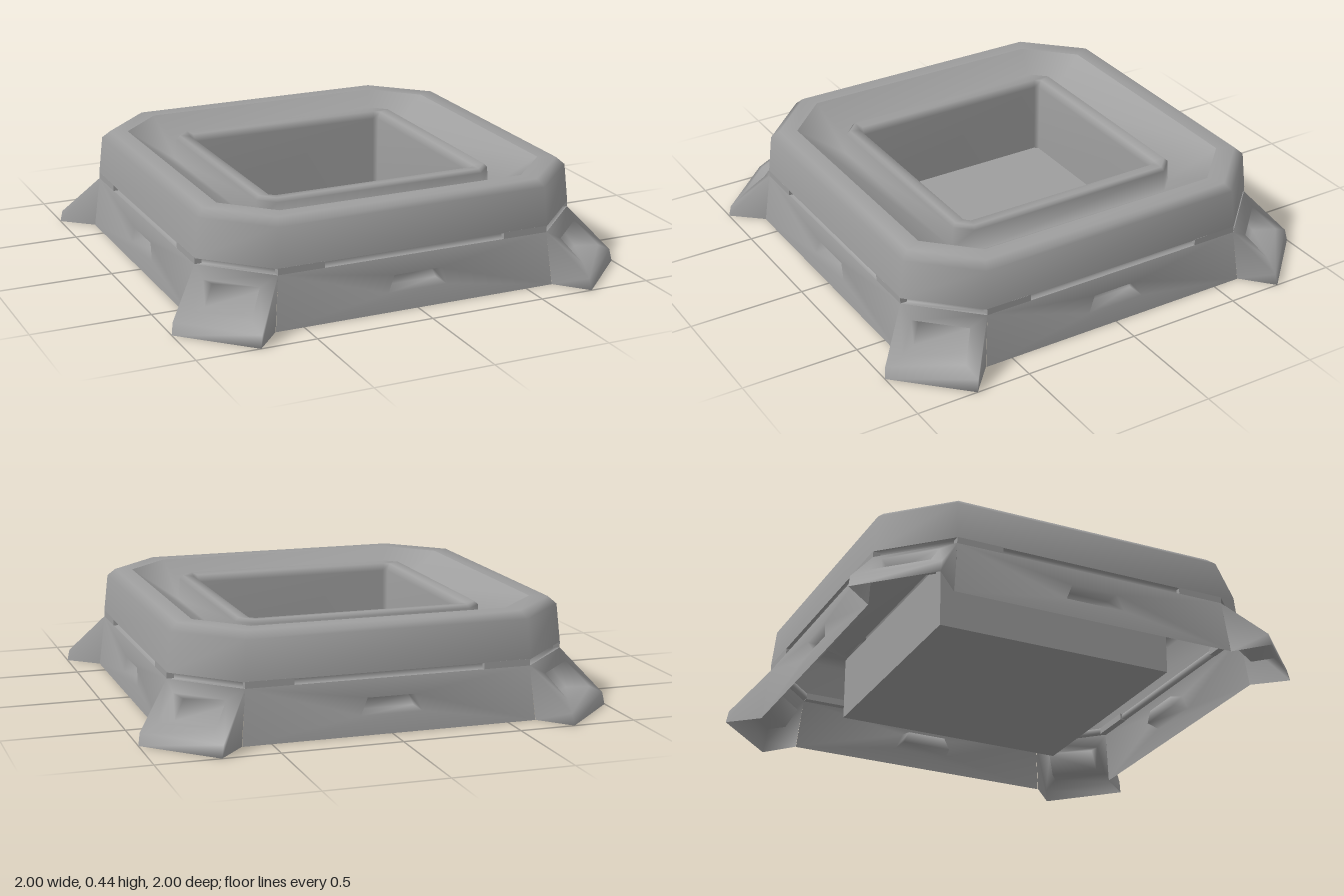
import * as THREE from 'three';
import { mergeGeometries, mergeVertices } from 'three/addons/utils/BufferGeometryUtils.js';

const material = new THREE.MeshStandardMaterial({ color: 0x9e9e9e, side: THREE.DoubleSide });

// Joins successive loops of points with quads; optionally caps the last loop.
function loft(loops, { capLast = false, closed = true } = {}) {
  const n = loops[0].length;
  const index = [];
  for (let k = 0; k < loops.length - 1; k++) {
    for (let i = 0; i < (closed ? n : n - 1); i++) {
      const a = k * n + i, b = k * n + (i + 1) % n;
      index.push(a, b, b + n, a, b + n, a + n);
    }
  }
  const last = (loops.length - 1) * n;
  for (let i = 1; capLast && i < n - 1; i++) index.push(last, last + i, last + i + 1);
  const geometry = new THREE.BufferGeometry();
  geometry.setAttribute('position', new THREE.Float32BufferAttribute(loops.flat(2), 3));
  geometry.setIndex(index);
  return geometry;
}

// Adds a mesh whose normals are smooth across the whole part.
function addSmooth(group, name, geometry) {
  geometry.computeVertexNormals();
  const mesh = new THREE.Mesh(geometry, material);
  mesh.name = name;
  group.add(mesh);
}

// Square of half-width h with corners cut at c, at height y.
const octagon = (h, c, y) => [
  [h, y, c], [h, y, -c], [c, y, -h], [-c, y, -h],
  [-h, y, -c], [-h, y, c], [-c, y, h], [c, y, h],
];

// Symmetric four-cornered loop facing +z: lower edge then upper edge, each [half-width, y, z].
const quad = ([w0, y0, z0], [w1, y1, z1]) => [
  [-w0, y0, z0], [w0, y0, z0], [w1, y1, z1], [-w1, y1, z1],
];

// Skirt wall with a tapered window pocket.
const skirtWall = () => loft([
  quad([0.62, 0, 0.873], [0.6, 0.225, 0.85]),
  quad([0.13, 0.08, 0.865], [0.1, 0.15, 0.858]),
  quad([0.115, 0.09, 0.8], [0.09, 0.142, 0.8]),
], { capLast: true });

// Hollow corner foot: sloped pocketed face, low toe and two cheeks that meet the skirt walls.
function cornerFoot() {
  const w = 0.25 / Math.SQRT2;
  const heel = 1.493 / Math.SQRT2, crown = 1.45 / Math.SQRT2;
  const pieces = [
    loft([
      quad([0.1875, 0.05, 1.215], [w, 0.225, crown]),
      quad([0.128, 0.085, 1.178], [0.12, 0.185, 1.072]),
      quad([0.11, 0.075, 1.08], [0.105, 0.15, 1.02]),
    ], { capLast: true }),
    loft([
      [[-0.1875, 0, 1.227], [0.1875, 0, 1.227]],
      [[-0.1875, 0.05, 1.215], [0.1875, 0.05, 1.215]],
    ], { closed: false }),
  ];
  for (const s of [-1, 1]) {
    const cheek = [
      [s * w, 0, heel], [s * 0.1875, 0, 1.227],
      [s * 0.1875, 0.05, 1.215], [s * w, 0.225, crown],
    ];
    if (s > 0) cheek.reverse();
    pieces.push(loft([cheek], { capLast: true }));
  }
  return mergeGeometries(pieces);
}

export function createModel() {
  const model = new THREE.Group();
  model.name = 'squareBasin';

  // Recess of the slot running round the body.
  addSmooth(model, 'slotRecess', loft([
    octagon(0.85, 0.6, 0.225),
    octagon(0.83, 0.587, 0.225),
    octagon(0.83, 0.587, 0.25),
    octagon(0.85, 0.6, 0.25),
  ]));

  // Outer wall and top of the rim.
  addSmooth(model, 'outerRim', loft([
    octagon(0.85, 0.6, 0.25),
    octagon(0.832, 0.595, 0.415),
    octagon(0.8, 0.575, 0.445),
    octagon(0.73, 0.54, 0.445),
  ]));

  // Sloping groove, inner rim and pit walls.
  addSmooth(model, 'grooveAndInnerRim', loft([
    octagon(0.73, 0.54, 0.445),
    octagon(0.535, 0.467, 0.31),
    octagon(0.53, 0.465, 0.405),
    octagon(0.515, 0.46, 0.42),
    octagon(0.47, 0.448, 0.415),
    octagon(0.455, 0.437, 0.385),
    octagon(0.453, 0.437, 0.07),
  ]));
  addSmooth(model, 'pitFloor', loft([octagon(0.453, 0.437, 0.07)], { capLast: true }));

  // Outside of the pit, hanging inside the hollow body.
  const casing = new THREE.Mesh(new THREE.BoxGeometry(1.05, 0.28, 1.05), material);
  casing.name = 'pitCasing';
  casing.position.y = 0.17;
  // The casing is open above, so drop the box's top face.
  casing.geometry.setIndex([...casing.geometry.index.array].filter((_, i) => i < 12 || i >= 18));
  model.add(casing);

  // Skirt walls and feet form one continuous smooth shell.
  const shell = [];
  for (let i = 0; i < 4; i++) {
    const turn = i * Math.PI / 2;
    shell.push(skirtWall().rotateY(turn), cornerFoot().rotateY(turn + Math.PI / 4));

    // Bridges interrupting the slot above the skirt.
    const side = new THREE.Group();
    side.name = 'slotBridges';
    side.rotation.y = turn;
    for (const s of [-1, 1]) {
      const bridge = new THREE.Mesh(new THREE.BoxGeometry(0.2, 0.03, 0.03), material);
      bridge.name = 'slotBridge';
      bridge.position.set(s * 0.5, 0.2375, 0.835);
      side.add(bridge);
    }
    model.add(side);
  }
  addSmooth(model, 'skirtAndFeet', mergeVertices(mergeGeometries(shell), 1e-3));
  return model;
}
